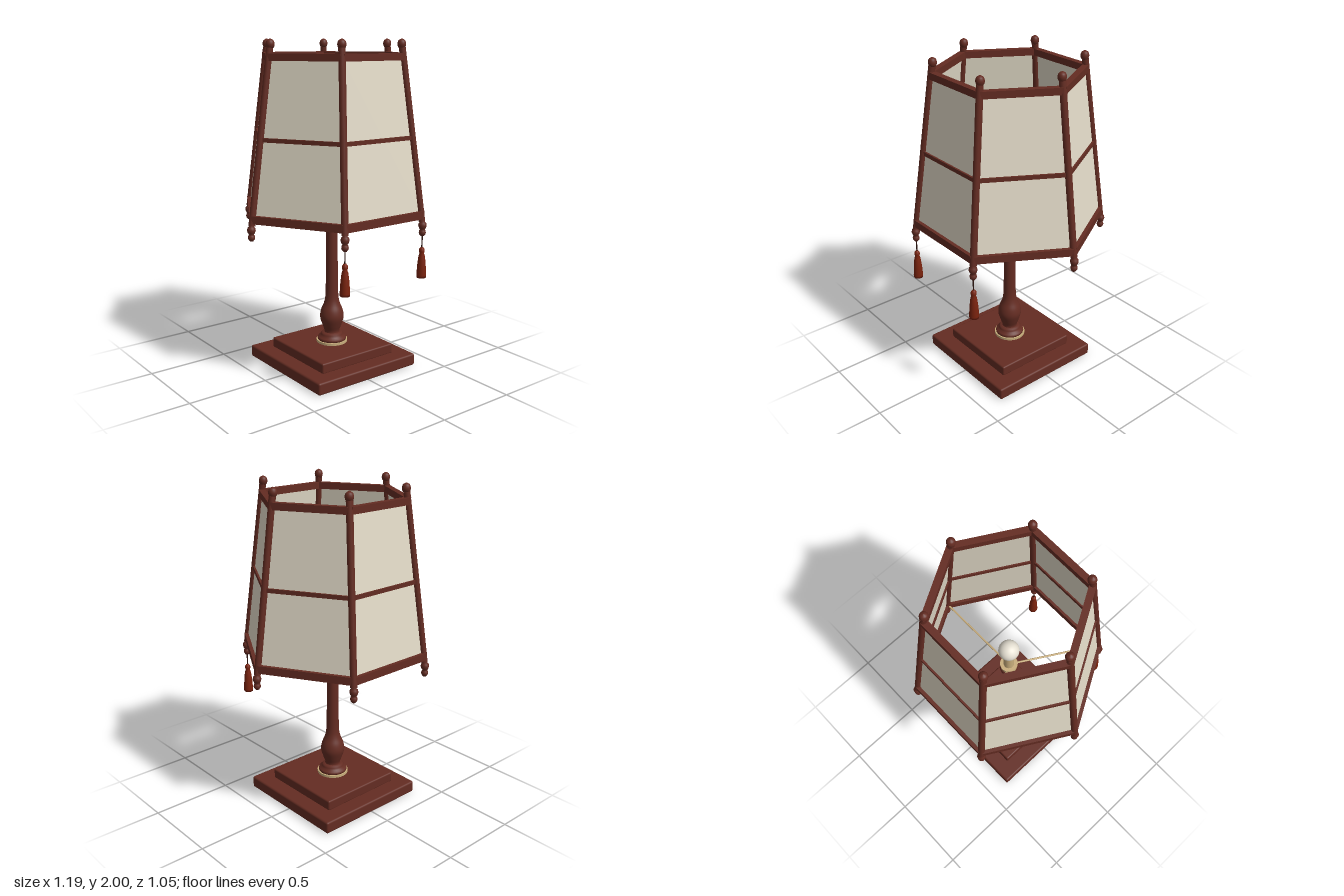
import * as THREE from 'three';
import { RoundedBoxGeometry } from 'three/addons/geometries/RoundedBoxGeometry.js';

export function createModel() {
  const model = new THREE.Group();
  model.name = 'tableLamp';

  const mat = (name, color, side = THREE.FrontSide) => {
    const m = new THREE.MeshStandardMaterial({ color, side });
    m.name = name;
    return m;
  };
  const wood = mat('darkWood', 0x642c22);
  const paper = mat('paper', 0xe4dcc9, THREE.DoubleSide);
  const brass = mat('paleBrass', 0xc8ad7c);
  const glass = mat('bulbGlass', 0xeee8da);
  const silk = mat('redSilk', 0x7a230e);
  const cord = mat('darkCord', 0x2e1610);

  const add = (name, geometry, material, x = 0, y = 0, z = 0, parent = model) => {
    const mesh = new THREE.Mesh(geometry, material);
    mesh.name = name;
    mesh.position.set(x, y, z);
    parent.add(mesh);
    return mesh;
  };
  const lathe = (points, segments = 32) =>
    new THREE.LatheGeometry(points.map(([r, y]) => new THREE.Vector2(r, y)), segments);
  // Smooth turned outline through a few points
  const turned = (points, segments = 32) => lathe(
    new THREE.SplineCurve(points.map(([r, y]) => new THREE.Vector2(r, y)))
      .getPoints(points.length * 4).map(p => [Math.max(p.x, 0), p.y]), segments);

  // Rod between two points
  const up = new THREE.Vector3(0, 1, 0);
  const rod = (name, a, b, radius, material, parent = model) => {
    const d = b.clone().sub(a);
    const c = a.clone().add(b).multiplyScalar(0.5);
    const m = add(name, new THREE.CylinderGeometry(radius, radius, d.length(), 12), material, c.x, c.y, c.z, parent);
    m.quaternion.setFromUnitVectors(up, d.normalize());
  };
  // Square rail between two points
  const rail = (name, a, b, width, height, parent) => {
    const c = a.clone().add(b).multiplyScalar(0.5);
    const m = add(name, new THREE.BoxGeometry(width, height, a.distanceTo(b)), wood, c.x, c.y, c.z, parent);
    m.lookAt(b);
  };

  // Stepped base
  add('baseSlab', new RoundedBoxGeometry(0.74, 0.075, 0.74, 3, 0.012), wood, 0, 0.0375, 0);
  add('baseStep', new RoundedBoxGeometry(0.54, 0.065, 0.54, 3, 0.01), wood, 0, 0.1025, 0);
  add('baseRing', new THREE.CylinderGeometry(0.097, 0.097, 0.016, 40), brass, 0, 0.142, 0);

  // Turned foot and stem
  add('stemFoot', lathe([[0, 0.15], [0.088, 0.15], [0.09, 0.158], [0.086, 0.168], [0.07, 0.174],
    [0.07, 0.186], [0.062, 0.195], [0.045, 0.2], [0, 0.2]]), wood);
  add('stem', turned([[0.05, 0.19], [0.048, 0.21], [0.06, 0.245], [0.074, 0.295], [0.068, 0.34], [0.05, 0.385],
    [0.041, 0.43], [0.038, 0.52], [0.036, 0.7], [0.035, 0.87], [0.04, 0.92], [0.053, 0.955], [0.055, 0.985], [0.045, 1.0]]), wood);

  // Socket and bulb
  add('socketCollar', new THREE.CylinderGeometry(0.054, 0.05, 0.04, 32), brass, 0, 1.015, 0);
  add('socket', new THREE.CylinderGeometry(0.032, 0.032, 0.18, 24), brass, 0, 1.12, 0);
  add('bulb', new THREE.SphereGeometry(0.062, 28, 20), glass, 0, 1.255, 0);

  // Six-sided shade
  const shade = new THREE.Group();
  shade.name = 'shade';
  model.add(shade);
  const corner = (i, y, shrink = 0) => {
    const r = 0.57 - 0.14 * (y - 0.95) - shrink;
    const a = i * Math.PI / 3;
    return new THREE.Vector3(Math.cos(a) * r, y, Math.sin(a) * r);
  };
  const topFinial = turned([[0.014, -0.045], [0.013, -0.03], [0.021, -0.022], [0.025, -0.005], [0.02, 0.013], [0.008, 0.022], [0, 0.025]], 18);
  const bottomFinial = lathe([[0, -0.065], [0.01, -0.063], [0.018, -0.053], [0.021, -0.043], [0.018, -0.03], [0.013, -0.025],
    [0.02, -0.016], [0.025, 0], [0.022, 0.014], [0.014, 0.022], [0.014, 0.04]], 18);

  for (let i = 0; i < 6; i++) {
    rod('shadePost', corner(i, 0.96), corner(i, 1.95), 0.02, wood, shade);
    rail('topRail', corner(i, 1.9), corner(i + 1, 1.9), 0.038, 0.04, shade);
    rail('middleRail', corner(i, 1.445), corner(i + 1, 1.445), 0.02, 0.024, shade);
    rail('bottomRail', corner(i, 0.997), corner(i + 1, 0.997), 0.038, 0.046, shade);

    const t = corner(i, 1.975), b = corner(i, 0.93);
    add('topFinial', topFinial, wood, t.x, 1.975, t.z, shade);
    add('bottomFinial', bottomFinial, wood, b.x, 0.935, b.z, shade);

    // Paper panel between two posts
    const quad = [corner(i, 1.0), corner(i, 1.9), corner(i + 1, 1.9), corner(i + 1, 1.0)];
    const panel = new THREE.BufferGeometry().setFromPoints(quad);
    panel.setIndex([0, 1, 2, 0, 2, 3]);
    panel.computeVertexNormals();
    add('paperPanel', panel, paper, 0, 0, 0, shade);
  }

  // Three spokes carry the shade
  for (const i of [0, 2, 4]) {
    rod('shadeSpoke', new THREE.Vector3(0, 1.02, 0), corner(i, 1.0), 0.006, brass);
  }

  // Tassels on the two front corners
  const tassel = lathe([[0, 0.62], [0.028, 0.62], [0.029, 0.635], [0.025, 0.7], [0.019, 0.75], [0.013, 0.768],
    [0.017, 0.778], [0.016, 0.792], [0.008, 0.803], [0, 0.804]], 20);
  for (const i of [1, 2]) {
    const p = corner(i, 0.93);
    add('tassel', tassel, silk, p.x, 0, p.z);
    add('tasselCord', new THREE.CylinderGeometry(0.004, 0.004, 0.09, 8), cord, p.x, 0.84, p.z);
  }

  return model;
}
